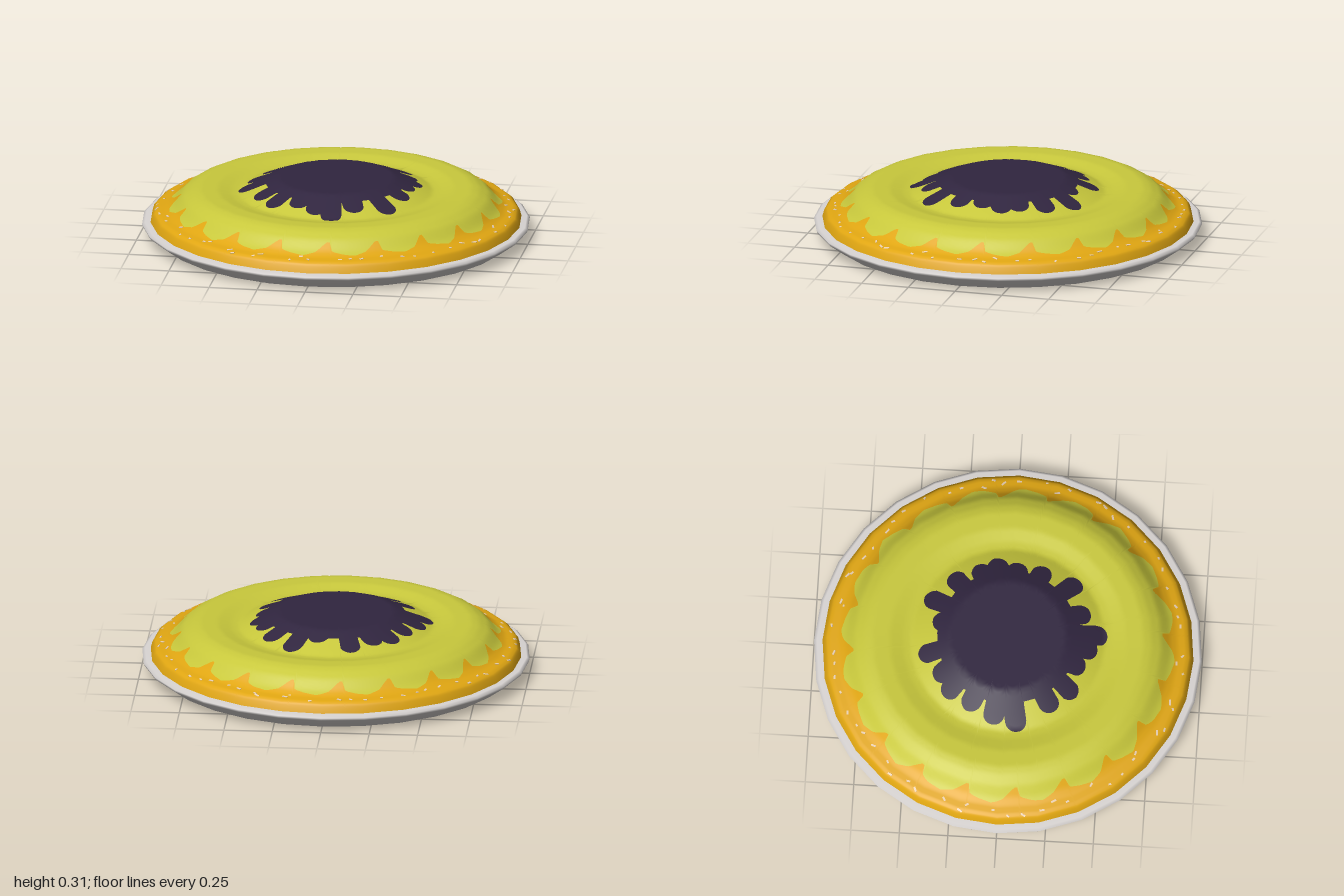
import * as THREE from 'three';
import { mergeGeometries } from 'three/addons/utils/BufferGeometryUtils.js';

const SIDES = 28, SEGMENTS = SIDES * 15, TAU = Math.PI * 2;

// Half section of the filling and crust, from centre to rim: [radius, height]
const PROFILE = [
  [0, 0.315], [0.3, 0.315], [0.45, 0.256], [0.5, 0.235], [0.54, 0.238], [0.61, 0.254], [0.7, 0.256],
  [0.74, 0.246], [0.79, 0.22], [0.84, 0.17], [0.875, 0.15], [0.925, 0.14], [0.947, 0.122], [0.957, 0.085], [0.98, 0],
];

function heightAt(r) {
  let i = 1;
  while (i < PROFILE.length - 1 && PROFILE[i][0] < r) i++;
  const [r0, y0] = PROFILE[i - 1], [r1, y1] = PROFILE[i];
  return y0 + (y1 - y0) * (r - r0) / (r1 - r0);
}
const slopeAt = (r) => (heightAt(r + 0.014) - heightAt(Math.max(0, r - 0.014))) / (r < 0.014 ? r + 0.014 : 0.028);

// Pulls a circle in to a regular polygon
function polygonFactor(a) {
  const step = TAU / SIDES;
  const local = ((a % step) + step) % step - step / 2;
  return Math.cos(step / 2) / Math.cos(local);
}

// Surface band following the profile between two outlines, radius by angle
function band(inner, outer, rows) {
  const positions = [], normals = [], index = [];
  for (let j = 0; j <= SEGMENTS; j++) {
    const a = j / SEGMENTS * TAU, f = polygonFactor(a);
    const r0 = inner(a), r1 = outer(a);
    for (let k = 0; k <= rows; k++) {
      const r = r0 + (r1 - r0) * k / rows, m = slopeAt(r), len = Math.hypot(m, 1);
      positions.push(r * f * Math.sin(a), heightAt(r), r * f * Math.cos(a));
      normals.push(-m * Math.sin(a) / len, 1 / len, -m * Math.cos(a) / len);
      if (j < SEGMENTS && k < rows) {
        const p = j * (rows + 1) + k, q = p + rows + 1;
        index.push(p, p + 1, q + 1, p, q + 1, q);
      }
    }
  }
  const g = new THREE.BufferGeometry();
  g.setAttribute('position', new THREE.Float32BufferAttribute(positions, 3));
  g.setAttribute('normal', new THREE.Float32BufferAttribute(normals, 3));
  g.setIndex(index);
  return g;
}

// Scalloped outline of the custard: twenty lopsided lobes
const LOBE = [[0, 0.795], [0.06, 0.84], [0.25, 0.855], [0.5, 0.866], [0.72, 0.845], [0.9, 0.81], [1, 0.795]];
function custardEdge(a) {
  const turn = (a / TAU * 360 + 11.3) / 18;
  const t = turn - Math.floor(turn);
  let i = 1;
  while (LOBE[i][0] < t) i++;
  const [t0, r0] = LOBE[i - 1], [t1, r1] = LOBE[i];
  return r0 + (r1 - r0) * (t - t0) / (t1 - t0);
}

// Jam puddle: a disc with round drips, [degrees clockwise from the back, reach]
const DRIPS = [
  [-14.5, 0.47], [10.6, 0.4], [26, 0.49], [47, 0.465], [66, 0.435], [79, 0.447], [94, 0.418],
  [113, 0.44], [135.5, 0.495], [158, 0.45], [174, 0.515], [185, 0.467], [200, 0.433], [218.5, 0.472],
  [236, 0.463], [261.5, 0.505], [276.5, 0.474], [295, 0.447], [313, 0.458], [327, 0.44],
];
function jamEdge(a) {
  let r = 0.365;
  for (const [deg, reach] of DRIPS) {
    const size = 0.055, c = reach - size;
    const d = a - (Math.PI - deg * Math.PI / 180);
    const off = c * Math.sin(d);
    if (Math.cos(d) > 0 && Math.abs(off) < size) {
      r = Math.max(r, c * Math.cos(d) + Math.sqrt(size * size - off * off));
    }
  }
  return r;
}

// Thin flakes lying on the crust
function flakes() {
  let seed = 11;
  const rand = () => (seed = (seed * 16807) % 2147483647) / 2147483647;
  const parts = [];
  for (let i = 0; i < 64; i++) {
    const a = (i + rand()) / 64 * TAU, r = 0.875 + rand() * 0.055;
    const g = new THREE.BoxGeometry(0.012 + rand() * 0.018, 0.004, 0.01);
    g.rotateY((rand() - 0.5) * 1.5);
    g.rotateX(-Math.atan(slopeAt(r)));
    g.translate(0, heightAt(r), r * polygonFactor(a));
    g.rotateY(a);
    parts.push(g);
  }
  return mergeGeometries(parts);
}

export function createModel() {
  const material = (name, color) => {
    const m = new THREE.MeshStandardMaterial({ color });
    m.name = name;
    return m;
  };
  const group = new THREE.Group();
  group.name = 'tart';
  const add = (name, geometry, mat) => {
    const mesh = new THREE.Mesh(geometry, mat);
    mesh.name = name;
    group.add(mesh);
  };

  // Shallow plate
  const plate = [[0, 0], [0.86, 0], [0.91, 0.002], [0.995, 0.064], [1, 0.078], [0.985, 0.088], [0.9, 0.088]];
  add('plate', new THREE.LatheGeometry(plate.map((p) => new THREE.Vector2(...p)), SIDES),
    material('plate grey', 0xd8d4d2));

  // Crust, custard and jam share one continuous surface
  add('crust', band(custardEdge, () => 0.957, 30), material('crust orange', 0xe0a612));
  add('custard', band(jamEdge, custardEdge, 32), material('custard yellow', 0xc8c83c));
  add('jam', band(() => 0, jamEdge, 18), material('jam purple', 0x30253f));
  add('crustFlakes', flakes(), material('flake cream', 0xe6cdb0));
  return group;
}
